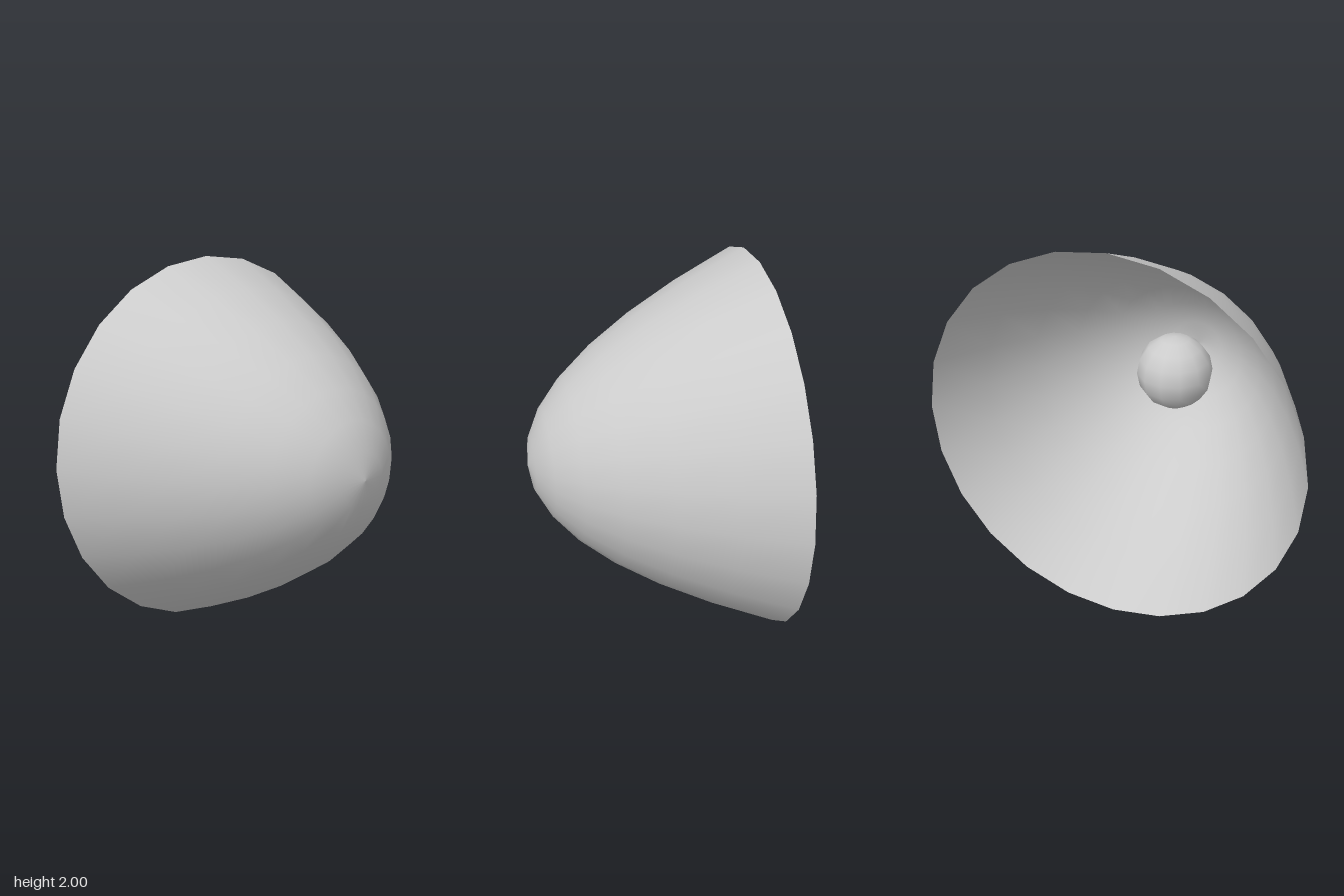
import * as THREE from 'three';

const RIM = 1, DEPTH = 1.2, RINGS = 7, SIDES = 24;

export function createModel() {
  const model = new THREE.Group();
  model.name = 'parabolicReflector';

  // Thin parabolic bowl: profile from the open rim to the tip, turned to face +z
  const profile = [];
  for (let i = RINGS; i >= 0; i--) {
    const r = (RIM * i) / RINGS;
    profile.push(new THREE.Vector2(r, DEPTH / 2 - DEPTH * r * r));
  }
  const bowlGeometry = new THREE.LatheGeometry(profile, SIDES);
  bowlGeometry.rotateX(Math.PI / 2);
  const bowl = new THREE.Mesh(
    bowlGeometry,
    new THREE.MeshStandardMaterial({ color: 0xcccccc, side: THREE.DoubleSide })
  );
  bowl.name = 'reflectorBowl';
  bowl.position.y = RIM;
  model.add(bowl);

  // Round bulb on the axis inside the bowl
  const bulb = new THREE.Mesh(
    new THREE.SphereGeometry(0.205, 12, 8),
    new THREE.MeshStandardMaterial({ color: 0xcccccc })
  );
  bulb.name = 'bulb';
  bulb.position.set(0, RIM, 0.24);
  model.add(bulb);

  return model;
}
